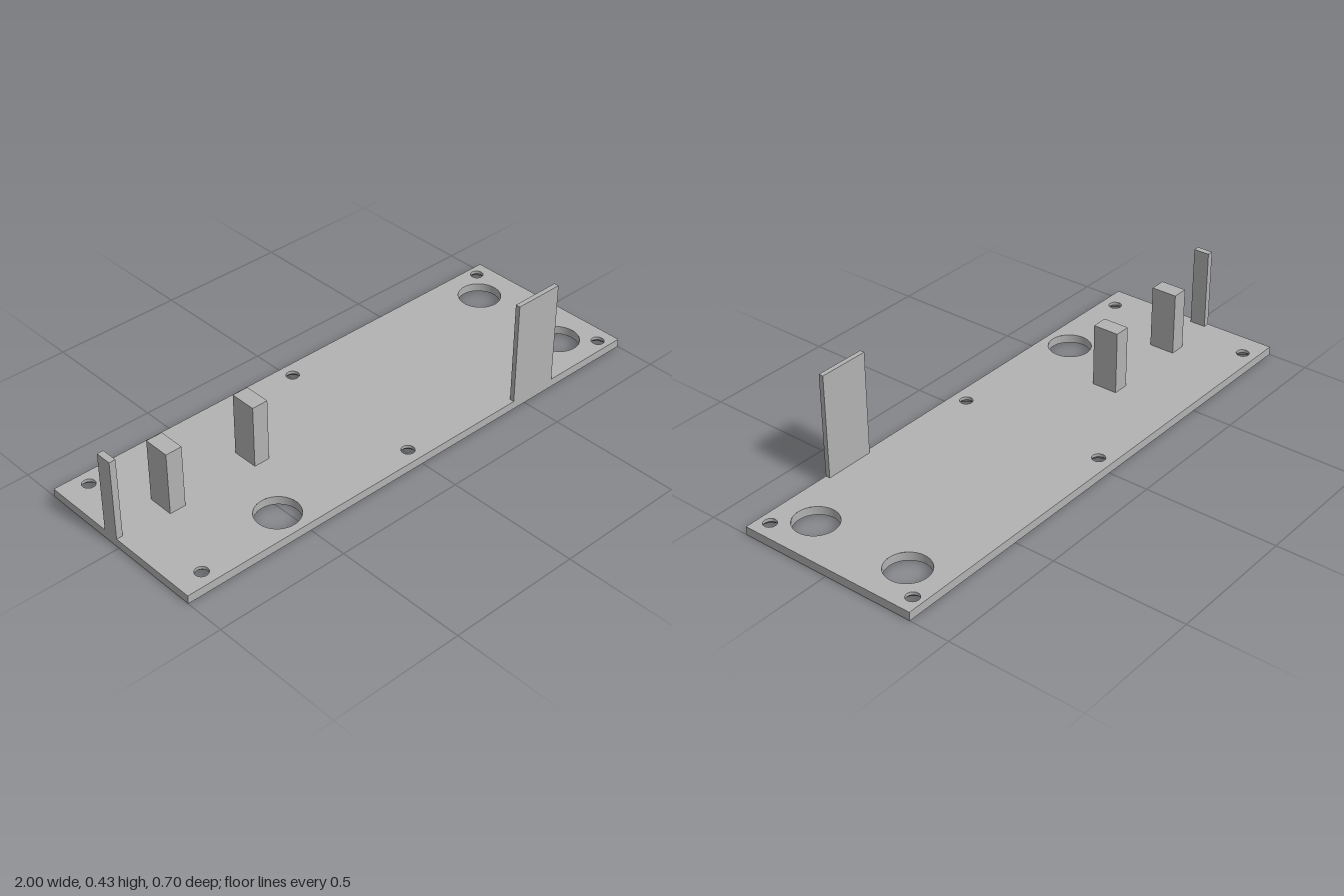
import * as THREE from 'three';

const W = 1, D = 0.347, T = 0.032; // half width, half depth, plate thickness
const SEG = 48;
const bigHoles = [[0.84, -0.197], [0.84, 0.195], [-0.545, 0.238]];
const screwHoles = [
  [-0.9, -0.292], [-0.013, -0.292], [0.938, -0.305],
  [-0.9, 0.29], [-0.013, 0.29], [0.938, 0.302],
];
const BIG_R = 0.08, SCREW_R = 0.024, SINK_R = 0.045, SINK_Y = 0.02;

export function createModel() {
  const model = new THREE.Group();
  const grey = new THREE.MeshStandardMaterial({ color: 0xb2b2b2 });
  grey.name = 'grey plastic';

  const add = (name, geometry, parent = model) => {
    const mesh = new THREE.Mesh(geometry, grey);
    mesh.name = name;
    parent.add(mesh);
    return mesh;
  };

  // One flat face of the plate, pierced by all holes
  const plate = new THREE.Group();
  plate.name = 'basePlate';
  model.add(plate);
  const face = (screwR, up) => {
    const s = up ? -1 : 1; // shape y to world z
    const shape = new THREE.Shape([
      new THREE.Vector2(-W, -D), new THREE.Vector2(W, -D),
      new THREE.Vector2(W, D), new THREE.Vector2(-W, D),
    ]);
    const cut = (list, r) => list.forEach(([x, z]) =>
      shape.holes.push(new THREE.Path().absarc(x, z * s, r, 0, Math.PI * 2, true)));
    cut(bigHoles, BIG_R);
    cut(screwHoles, screwR);
    return new THREE.ShapeGeometry(shape, SEG).rotateX(s * Math.PI / 2);
  };
  add('plateTop', face(SCREW_R, true), plate).position.y = T;
  add('plateBottom', face(SINK_R, false), plate);

  // Plate edges
  for (let i = 0; i < 4; i++) {
    const onSide = i % 2 === 1;
    const edge = new THREE.PlaneGeometry(onSide ? 2 * D : 2 * W, T)
      .translate(0, T / 2, onSide ? W : D)
      .rotateY(i * Math.PI / 2);
    add('plateEdge', edge, plate);
  }

  // Hole walls, profiled downwards so they face inwards
  const wall = (name, [x, z], rTop, yTop, rBottom, yBottom) => {
    const profile = [new THREE.Vector2(rTop, yTop), new THREE.Vector2(rBottom, yBottom)];
    add(name, new THREE.LatheGeometry(profile, SEG), plate).position.set(x, 0, z);
  };
  bigHoles.forEach(p => wall('largeHoleWall', p, BIG_R, T, BIG_R, 0));
  screwHoles.forEach(p => {
    wall('screwHoleWall', p, SCREW_R, T, SCREW_R, SINK_Y);
    wall('countersink', p, SCREW_R, SINK_Y, SINK_R, 0);
  });

  // Uprights standing on the plate
  const upright = (name, x0, x1, z0, z1, top) =>
    add(name, new THREE.BoxGeometry(x1 - x0, top - T, z1 - z0))
      .position.set((x0 + x1) / 2, (top + T) / 2, (z0 + z1) / 2);
  upright('outerPost', -0.8, -0.738, -0.091, 0.009, 0.271);
  upright('innerPost', -0.445, -0.383, -0.091, 0.009, 0.271);
  upright('endTab', -1, -0.976, -0.071, -0.009, 0.338);
  upright('frontPanel', 0.444, 0.637, 0.329, D, 0.425);

  return model;
}
